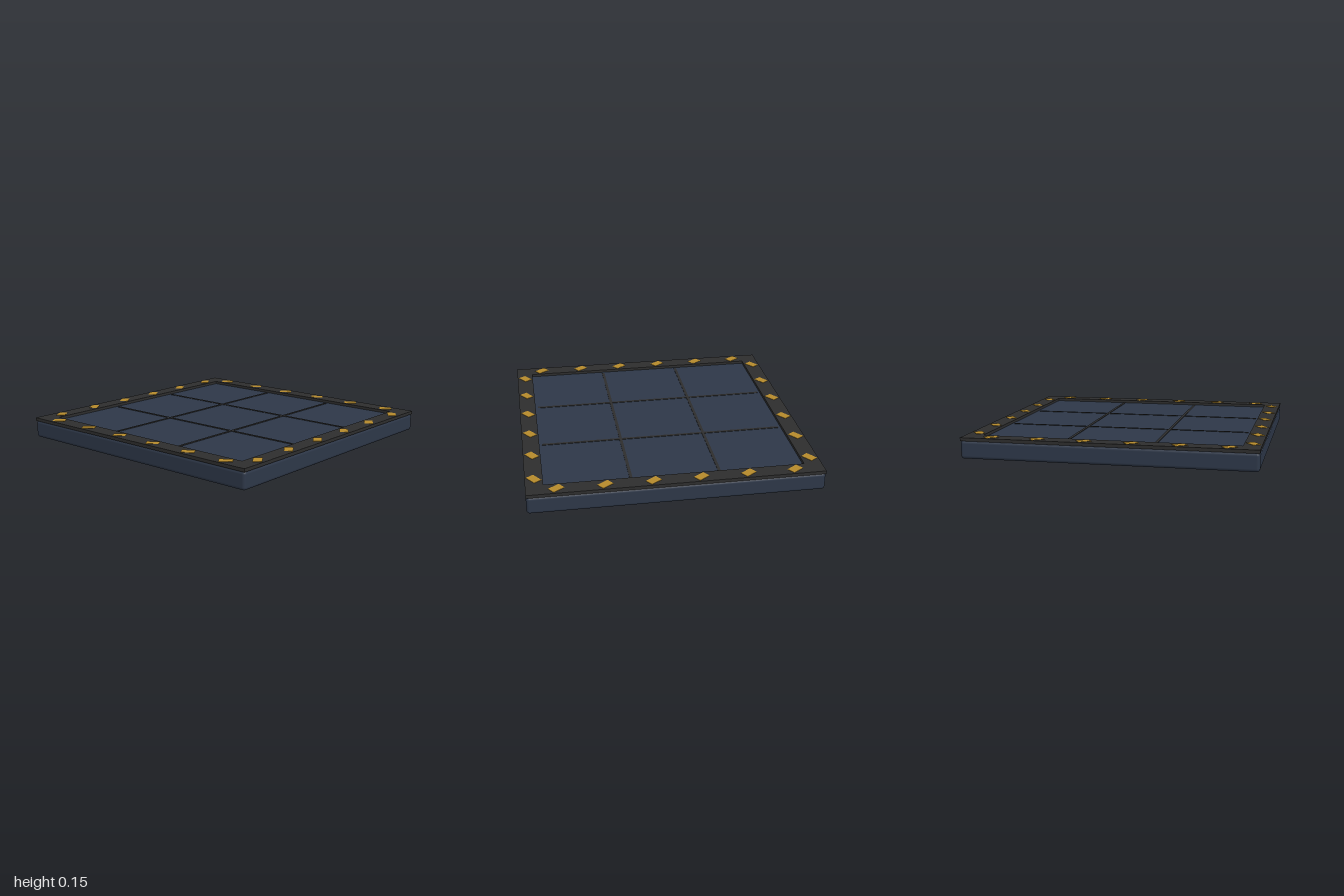
import * as THREE from 'three';
import { RoundedBoxGeometry } from 'three/addons/geometries/RoundedBoxGeometry.js';

const material = (name, color) => {
  const m = new THREE.MeshStandardMaterial({ color });
  m.name = name;
  return m;
};

export function createModel() {
  const group = new THREE.Group();
  const slate = material('slate blue', 0x2d3748);
  const charcoal = material('charcoal', 0x2d2d2d);
  const amber = material('amber', 0xb58a2b);

  const add = (name, geometry, mat, x, y, z, turn = 0) => {
    const mesh = new THREE.Mesh(geometry, mat);
    mesh.name = name;
    mesh.position.set(x, y, z);
    mesh.rotation.y = turn;
    group.add(mesh);
  };

  // Slab with softened edges
  add('slab', new RoundedBoxGeometry(2, 0.125, 2, 4, 0.022), slate, 0, 0.0625, 0);

  // Raised square border
  const square = (Type, s) => new Type([[-s, -s], [s, -s], [s, s], [-s, s]].map(([x, y]) => new THREE.Vector2(x, y)));
  const outline = square(THREE.Shape, 1);
  outline.holes.push(square(THREE.Path, 0.88));
  const border = new THREE.ExtrudeGeometry(outline, { depth: 0.023, bevelEnabled: false });
  border.rotateX(-Math.PI / 2);
  add('border', border, charcoal, 0, 0.122, 0);

  // Seams dividing the top into nine panels
  const seam = new THREE.BoxGeometry(0.02, 0.006, 1.72);
  for (const p of [-0.3, 0.3]) {
    add('seam', seam, charcoal, p, 0.125, 0);
    add('seam', seam, charcoal, 0, 0.125, p, Math.PI / 2);
  }

  // Slanted warning marks along all four sides
  const mark = new THREE.BoxGeometry(0.09, 0.005, 0.06);
  const slant = 0.61;
  for (let i = 0; i < 6; i++) {
    const along = -0.8 + i * 0.32;
    for (const side of [-0.94, 0.94]) {
      add('warningMark', mark, amber, along, 0.145, side, slant);
      add('warningMark', mark, amber, side, 0.145, along, slant + Math.PI / 2);
    }
  }
  return group;
}
